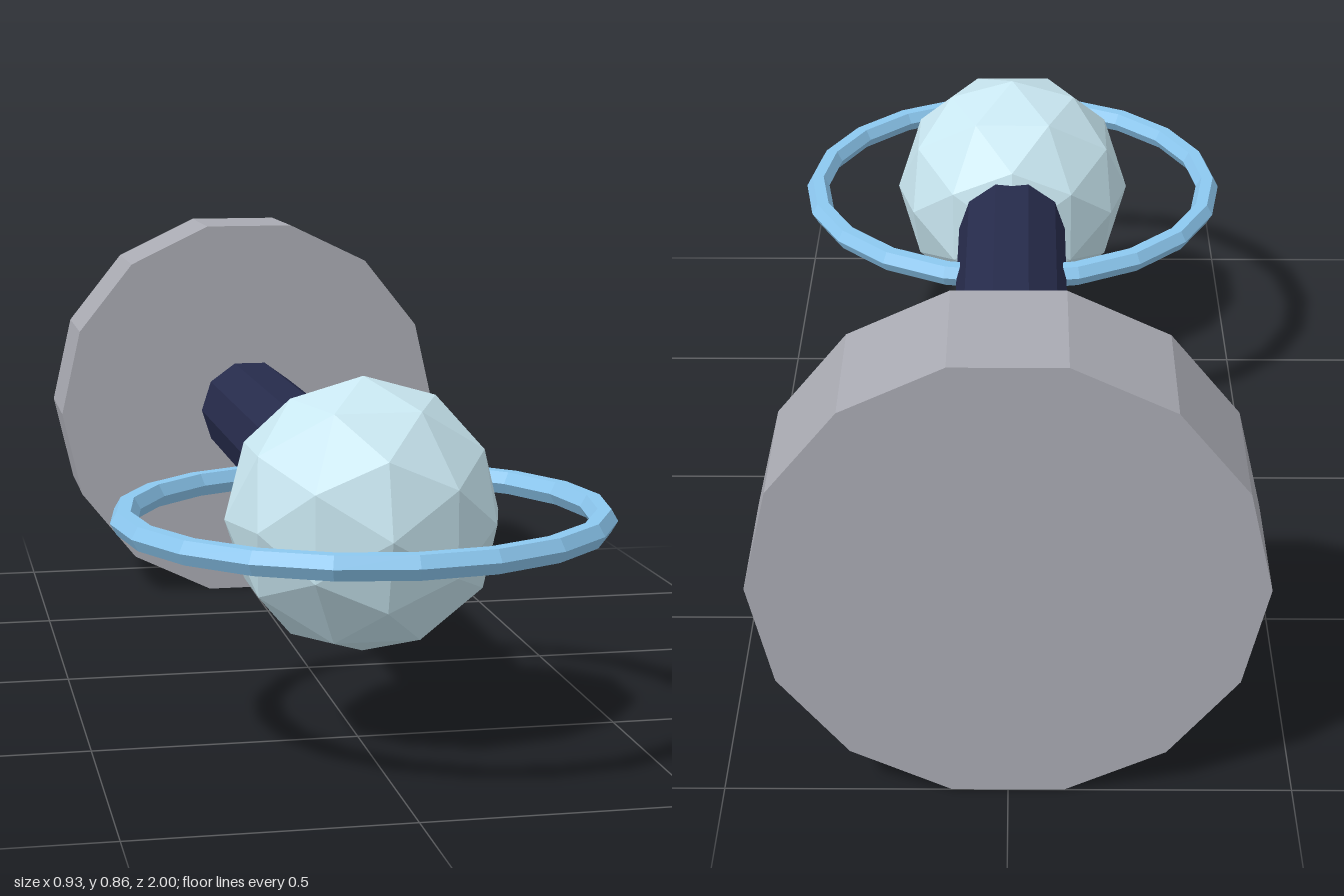
import * as THREE from 'three';

const AXIS_Y = 0.431; // height of the shared centre line
const BALL_Z = 0.537; // centre of the ball and its ring

function part(name, geometry, color, z) {
  const material = new THREE.MeshStandardMaterial({ color, flatShading: true });
  const mesh = new THREE.Mesh(geometry, material);
  mesh.name = name;
  mesh.position.set(0, AXIS_Y, z);
  return mesh;
}

// Faceted cylinder along z with a corner pointing to +x
function zCylinder(radius, length, sides) {
  return new THREE.CylinderGeometry(radius, radius, length, sides, 1, false, Math.PI / 2)
    .rotateX(Math.PI / 2);
}

export function createModel() {
  const model = new THREE.Group();
  model.name = 'ringedBallHandle';

  // Thick disc at the back
  model.add(part('baseDisc', zCylinder(0.443, 0.255, 14), 0xa9aab2, -0.8725));

  // Rod from the disc into the ball
  const rodStart = -0.745, rodEnd = 0.4;
  model.add(part('rod', zCylinder(0.115, rodEnd - rodStart, 10), 0x262b4b, (rodStart + rodEnd) / 2));

  // Faceted ball at the front
  model.add(part('ball', new THREE.IcosahedronGeometry(0.256, 1), 0xc8e6f0, BALL_Z));

  // Horizontal ring around the ball, passing through the rod
  const ring = new THREE.TorusGeometry(0.438, 0.025, 6, 20).rotateX(Math.PI / 2);
  model.add(part('ring', ring, 0x8cc8f0, BALL_Z));

  return model;
}
